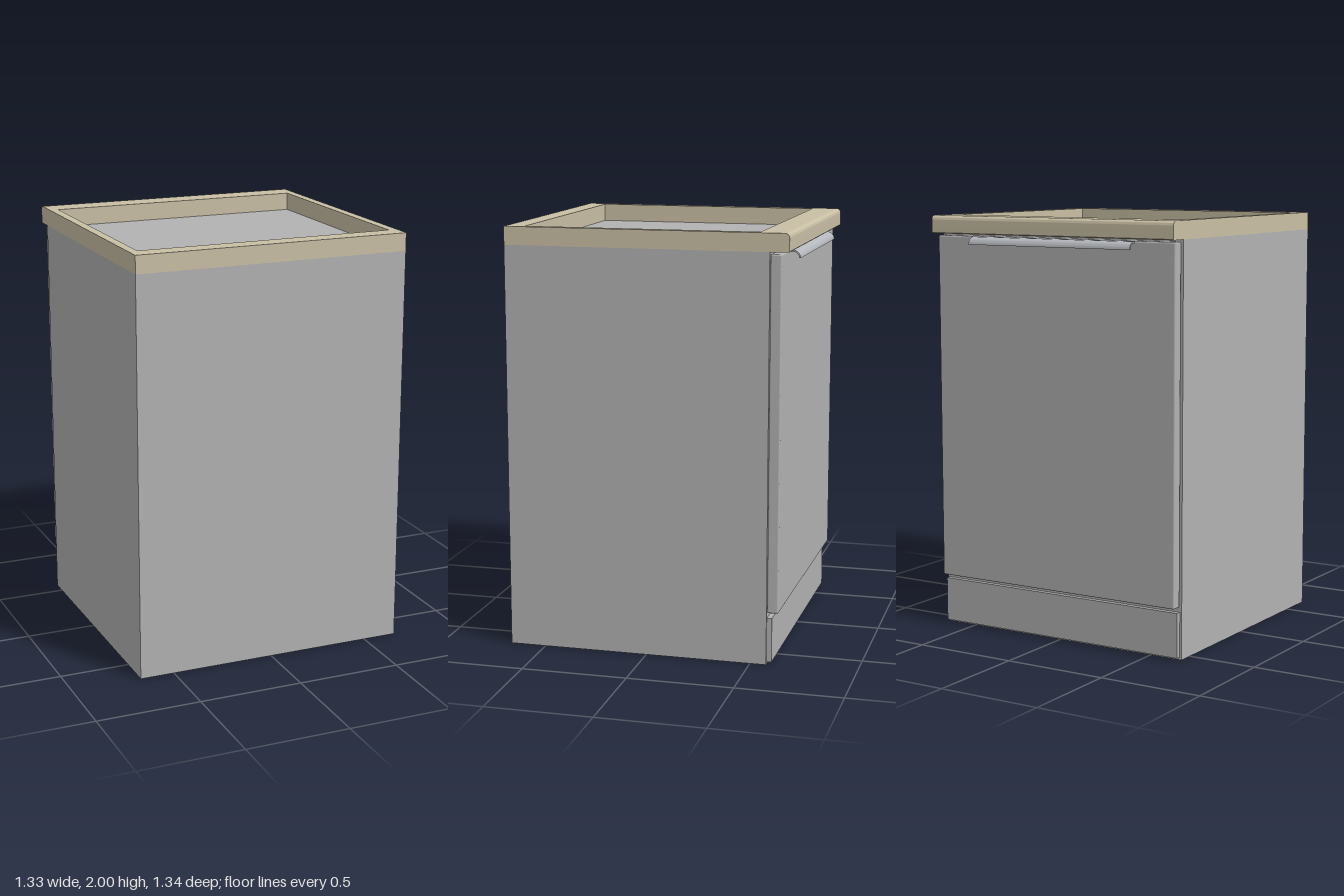
import * as THREE from 'three';
import { RoundedBoxGeometry } from 'three/addons/geometries/RoundedBoxGeometry.js';
import { toCreasedNormals } from 'three/addons/utils/BufferGeometryUtils.js';

const W = 0.665;        // half width of the cabinet
const BACK = 0.671;     // plain face at +z
const BODY = -0.576;    // body face behind the door
const DOOR = -0.629;    // outer face of the door
const NOSE = -0.664;    // overhanging edge of the worktop
const DECK = 1.915;     // top of the body, underside of the worktop

export function createModel() {
  const model = new THREE.Group();
  const mat = (name, color) => Object.assign(new THREE.MeshStandardMaterial({ color }), { name });
  const grey = mat('cabinet grey', 0xb2b2b2);
  const tan = mat('worktop beige', 0xc9bfa5);
  const metal = mat('handle metal', 0xb5b8bd);

  const add = (name, geometry, material, parent = model) => {
    const mesh = new THREE.Mesh(geometry, material);
    mesh.name = name;
    parent.add(mesh);
    return mesh;
  };
  // Box given by its limits; a radius rounds its edges
  const block = (name, material, [x0, x1], [y0, y1], [z0, z1], radius = 0, parent = model) => {
    const size = [x1 - x0, y1 - y0, z1 - z0];
    const g = radius ? new RoundedBoxGeometry(...size, 3, radius) : new THREE.BoxGeometry(...size);
    add(name, g, material, parent).position.set((x0 + x1) / 2, (y0 + y1) / 2, (z0 + z1) / 2);
  };
  // Profile drawn as (outward = -z, y), swept along x between x0 and x1
  const sweep = (shape, x0, x1) => {
    const g = new THREE.ExtrudeGeometry(shape, { depth: x1 - x0, bevelEnabled: false, curveSegments: 10 });
    g.rotateY(Math.PI / 2).translate(x0, 0, 0);
    return toCreasedNormals(g, 0.6);
  };

  // Body, door and plinth
  block('body', grey, [-W, W], [0, DECK], [BODY, BACK]);
  block('door', grey, [-0.655, 0.655], [0.246, 1.905], [DOOR, BODY], 0.008);
  block('plinth', grey, [-0.655, 0.655], [0.012, 0.223], [-0.6, BODY]);

  // Worktop frame around the open recess
  const worktop = new THREE.Group();
  worktop.name = 'worktop';
  model.add(worktop);
  const inX = 0.622, inFront = -0.525, inBack = 0.58;
  block('worktopRearRail', tan, [-W, W], [DECK, 2], [inBack, BACK], 0, worktop);
  for (const [name, a, b] of [['worktopLeftRail', inX, W], ['worktopRightRail', -W, -inX]])
    block(name, tan, [a, b], [DECK, 2], [inFront, inBack], 0, worktop);

  // Door-side rail with a rounded upper edge
  const r = 0.021;
  const rail = new THREE.Shape();
  rail.moveTo(-inFront, DECK);
  rail.lineTo(-NOSE - 0.004, DECK);
  rail.lineTo(-NOSE, DECK + 0.004);
  rail.lineTo(-NOSE, 2 - r);
  rail.absarc(-NOSE - r, 2 - r, r, 0, Math.PI / 2, false);
  rail.lineTo(-inFront, 2);
  rail.closePath();
  add('worktopRoundedRail', sweep(rail, -W, W), tan, worktop);

  // Curved lip handle at the top of the door
  const R = 0.036, t = 0.007, cz = 0.672 - R, cy = 1.903 - R;
  const lip = new THREE.Shape();
  lip.moveTo(-DOOR - 0.012, cy + R);
  lip.lineTo(-DOOR - 0.012, cy + R - t);
  lip.lineTo(cz, cy + R - t);
  lip.absarc(cz, cy, R - t, Math.PI / 2, 0, true);
  lip.lineTo(cz + R, cy);
  lip.absarc(cz, cy, R, 0, Math.PI / 2, false);
  lip.closePath();
  add('handle', sweep(lip, -0.444, 0.444), metal);

  return model;
}
